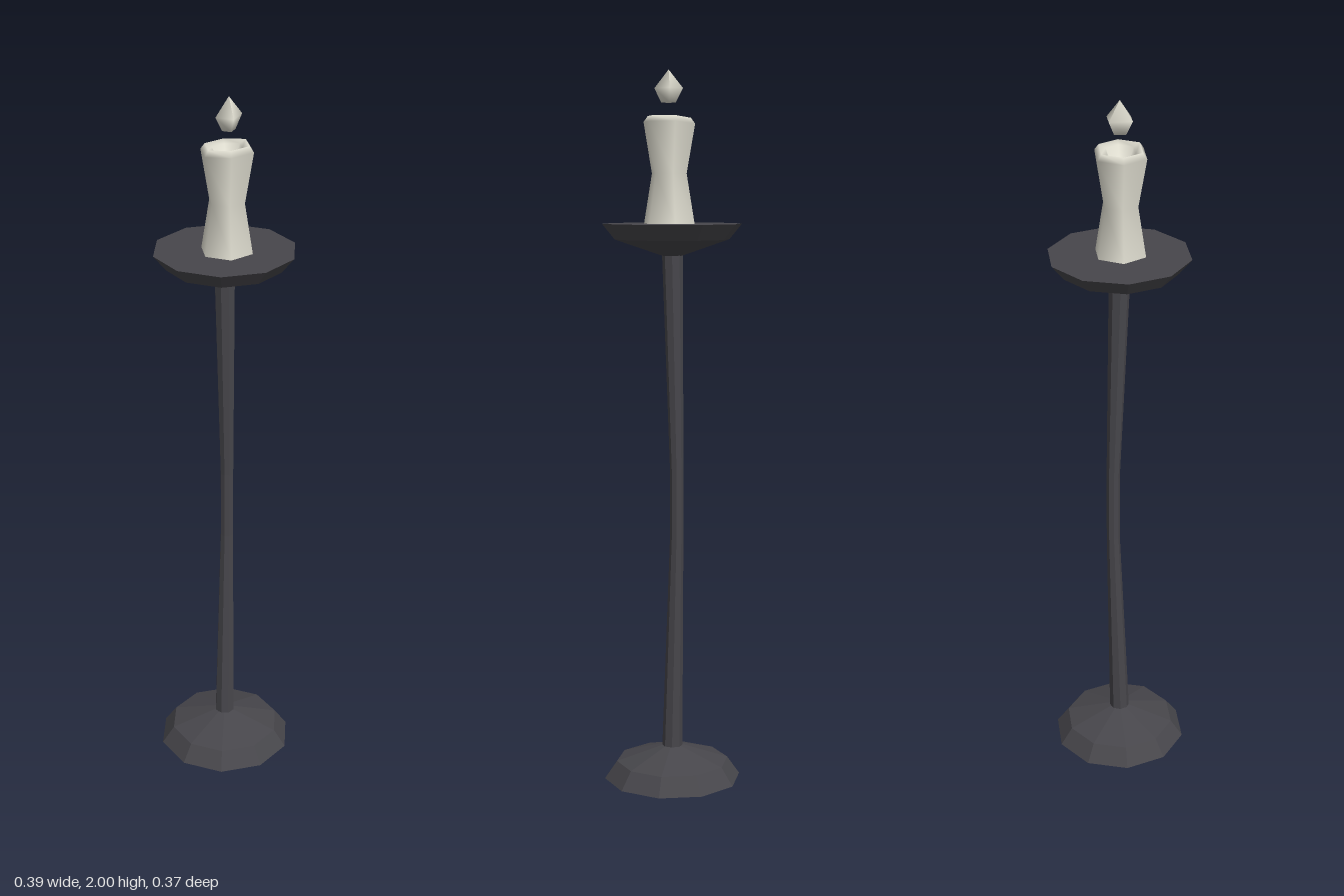
import * as THREE from 'three';

const iron = new THREE.MeshStandardMaterial({ color: 0x47464b, side: THREE.DoubleSide });
iron.name = 'darkIron';
const wax = new THREE.MeshStandardMaterial({ color: 0xdedccf });
wax.name = 'paleWax';

// Turned part with few sides, from [radius, height] pairs
function turned(points, sides, start = Math.PI / 2) {
  return new THREE.LatheGeometry(points.map(([r, y]) => new THREE.Vector2(r, y)), sides, start);
}

function faceted(geometry) {
  const flat = geometry.toNonIndexed();
  flat.computeVertexNormals();
  return flat;
}

// Move every vertex by a rule
function bend(geometry, rule) {
  const p = geometry.attributes.position;
  const v = new THREE.Vector3();
  for (let i = 0; i < p.count; i++) {
    v.fromBufferAttribute(p, i);
    rule(v);
    p.setXYZ(i, v.x, v.y, v.z);
  }
  geometry.computeBoundingSphere();
  return geometry;
}

export function createModel() {
  const group = new THREE.Group();
  group.name = 'candleStand';
  const add = (name, geometry, material) => {
    const mesh = new THREE.Mesh(geometry, material);
    mesh.name = name;
    group.add(mesh);
    return mesh;
  };

  // Hollow foot, open underneath
  add('foot', faceted(turned([[0.195, 0], [0.16, 0.05], [0.028, 0.093]], 10)), iron);

  // Pole, thinner and bowed backwards in the middle
  const pole = turned([[0, 0.085], [0.029, 0.085], [0.019, 0.7], [0.019, 0.9], [0.029, 1.51]], 8);
  bend(pole, (v) => {
    if (v.y > 0.6 && v.y < 1) v.z -= 0.018;
  });
  add('pole', faceted(pole), iron);

  // Drip dish with a flat top
  add('dripDish', faceted(turned([[0.028, 1.495], [0.16, 1.54], [0.195, 1.583], [0, 1.583]], 10)), iron);

  // Waisted candle with a sunken top and one lower corner
  const candle = turned([
    [0.073, 1.583], [0.05, 1.72], [0.074, 1.86], [0.062, 1.876], [0.042, 1.868], [0.03, 1.84], [0, 1.835],
  ], 6);
  bend(candle, (v) => {
    if (v.y > 1.85 && v.x < -0.02) v.y -= 0.006;
  });
  add('candle', candle, wax).position.set(0.008, 0, 0.004);

  // Four-sided flame floating above the candle
  const flame = turned([[0, 1.91], [0.02, 1.912], [0.039, 1.95], [0, 2]], 4, Math.PI / 4);
  flame.scale(0.9, 1, 1.12);
  add('flame', flame, wax).position.set(0.012, 0, 0.002);

  return group;
}
